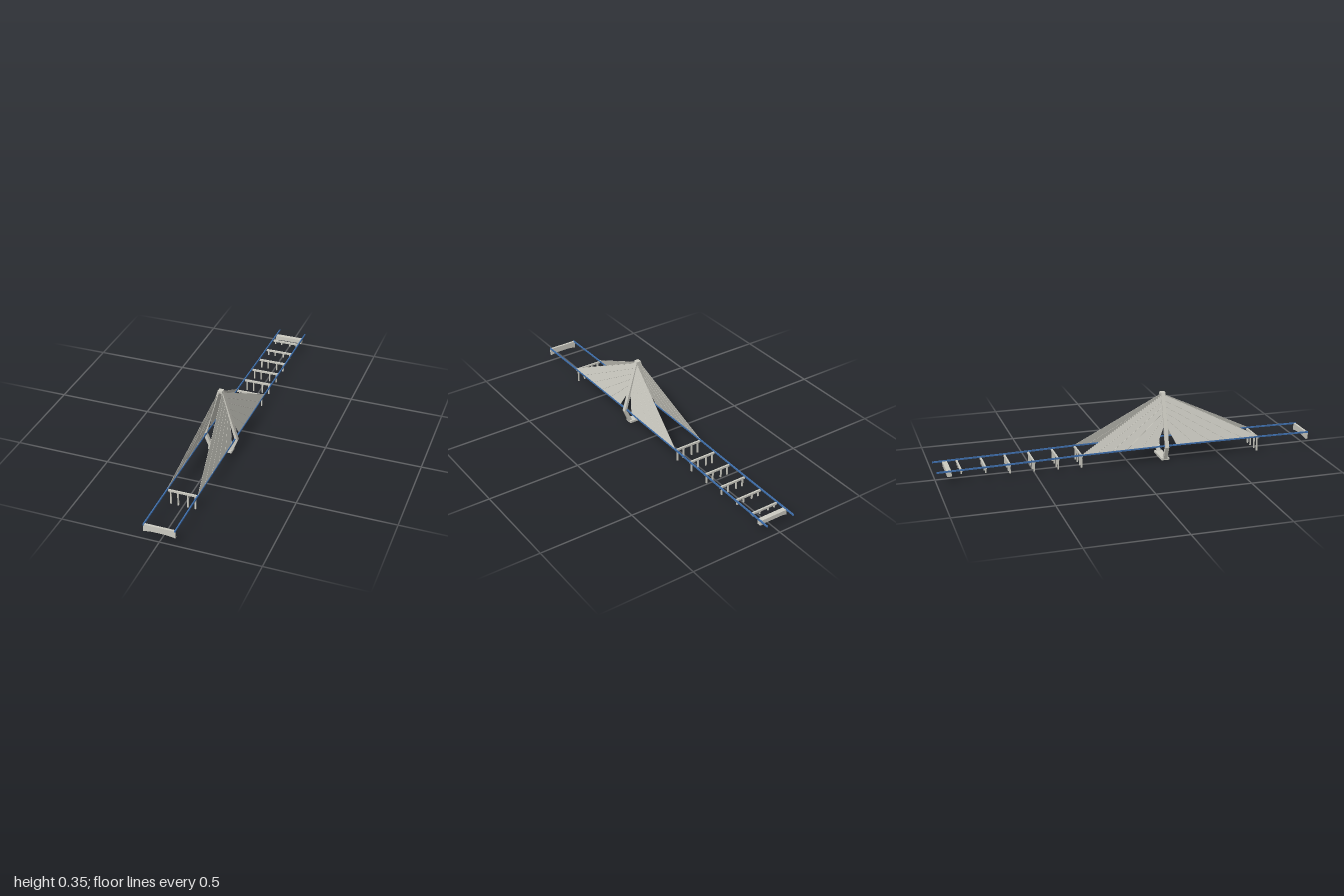
import * as THREE from 'three';

const concrete = new THREE.MeshStandardMaterial({ color: 0xcccbc2 });
concrete.name = 'concrete';
const cableGrey = new THREE.MeshStandardMaterial({ color: 0xcccbc2, side: THREE.DoubleSide });
cableGrey.name = 'cable grey';
const blue = new THREE.MeshStandardMaterial({ color: 0x3f70ae });
blue.name = 'girder blue';

const PYLON_Z = 0.196;
const DECK_X = 0.078;

// Deck line along the bridge as [z, y] of the girder top
const deckLine = [[1, 0.084], [0.7, 0.087], [0.2, 0.088], [-0.25, 0.084], [-0.6, 0.076], [-1, 0.07]];
function deckY(z) {
  for (let i = 0; i < deckLine.length - 1; i++) {
    const [z0, y0] = deckLine[i], [z1, y1] = deckLine[i + 1];
    if (z <= z0 && z >= z1) return y0 + ((y1 - y0) * (z - z0)) / (z1 - z0);
  }
  return deckLine[0][1];
}

function add(parent, name, geometry, material, x = 0, y = 0, z = 0) {
  const mesh = new THREE.Mesh(geometry, material);
  mesh.name = name;
  mesh.position.set(x, y, z);
  parent.add(mesh);
  return mesh;
}

function shapeOf(points) {
  return new THREE.Shape(points.map(([a, b]) => new THREE.Vector2(a, b)));
}

// Extrude an outline, centred on its depth
function slab(shape, depth) {
  return new THREE.ExtrudeGeometry(shape, { depth, bevelEnabled: false }).translate(0, 0, -depth / 2);
}

// Close a half outline by mirroring it across x = 0
function mirrored(half) {
  return [...half, ...half.map(([x, y]) => [-x, y]).reverse()];
}

function buildPylon() {
  const pylon = new THREE.Group();
  pylon.name = 'pylon';
  const frame = shapeOf(mirrored([[0.062, 0], [0.093, 0.078], [0.012, 0.355]]));
  frame.holes.push(shapeOf(mirrored([[0.047, 0.012], [0.078, 0.08], [0.006, 0.342]])));
  add(pylon, 'pylonFrame', slab(frame, 0.02), concrete, 0, 0, PYLON_Z);
  add(pylon, 'pylonCap', new THREE.BoxGeometry(0.024, 0.013, 0.026), concrete, 0, 0.3485, PYLON_Z);
  add(pylon, 'pylonFooting', new THREE.BoxGeometry(0.128, 0.012, 0.042), concrete, 0, 0.006, PYLON_Z);
  return pylon;
}

// One fan of stays: bands between cables, each cable a thin rod
function buildFan(side, endZ, innerZ) {
  const fan = new THREE.Group();
  fan.name = 'cableFan';
  const count = 6;
  const cables = [];
  for (let i = 0; i < count; i++) {
    const t = i / (count - 1);
    const y = 0.344 - 0.144 * t;
    const legX = 0.01 + ((0.344 - y) * 0.068) / 0.257;
    const z = endZ + (innerZ - endZ) * t;
    cables.push([
      new THREE.Vector3(side * legX, y, PYLON_Z),
      new THREE.Vector3(side * DECK_X, deckY(z), z),
    ]);
  }
  for (let i = 0; i < count - 1; i++) {
    const [a, b] = cables[i], [c, d] = cables[i + 1];
    const band = new THREE.BufferGeometry().setFromPoints([a, b, d, a, d, c]);
    band.computeVertexNormals();
    add(fan, 'cableBand', band, cableGrey);
  }
  for (const [a, b] of cables) {
    add(fan, 'stayCable', new THREE.TubeGeometry(new THREE.LineCurve3(a, b), 1, 0.001, 5), cableGrey);
  }
  return fan;
}

// Crossbeam on four columns
function buildPier(z, footY) {
  const pier = new THREE.Group();
  pier.name = 'pier';
  const top = deckY(z) - 0.006;
  add(pier, 'pierBeam', new THREE.BoxGeometry(0.152, 0.01, 0.009), concrete, 0, top - 0.005, z);
  const height = top - 0.008 - footY;
  for (const x of [-0.063, -0.025, 0.025, 0.063]) {
    add(pier, 'pierColumn', new THREE.BoxGeometry(0.007, height, 0.007), concrete, x, footY + height / 2, z);
  }
  return pier;
}

export function createModel() {
  const bridge = new THREE.Group();
  bridge.name = 'cableStayedBridge';

  // Side girders follow the deck line
  const girderOutline = shapeOf([
    ...deckLine,
    ...[...deckLine].reverse().map(([z, y]) => [z, y - 0.008]),
  ]);
  for (const side of [-1, 1]) {
    const girder = slab(girderOutline, 0.006).rotateY(-Math.PI / 2);
    add(bridge, 'sideGirder', girder, blue, side * DECK_X);
    bridge.add(buildFan(side, 0.71, 0.25));
    bridge.add(buildFan(side, -0.255, 0.142));
  }

  bridge.add(buildPylon());

  const piers = [
    [0.71, 0], [-0.258, 0.008], [-0.381, 0.012], [-0.506, 0.015],
    [-0.63, 0.018], [-0.753, 0.034], [-0.876, 0.042],
  ];
  for (const [z, footY] of piers) bridge.add(buildPier(z, footY));

  // End abutments with a shallow arched underside
  const front = shapeOf(mirrored([[0.035, 0.049], [0.06, 0.046], [0.08, 0.042], [0.08, 0.081]]));
  add(bridge, 'frontAbutment', slab(front, 0.012), concrete, 0, 0, 0.993);
  const rear = shapeOf(mirrored([[0.05, 0.044], [0.078, 0.039], [0.078, 0.066]]));
  add(bridge, 'rearAbutment', slab(rear, 0.024), concrete, 0, 0, -0.937);

  return bridge;
}
